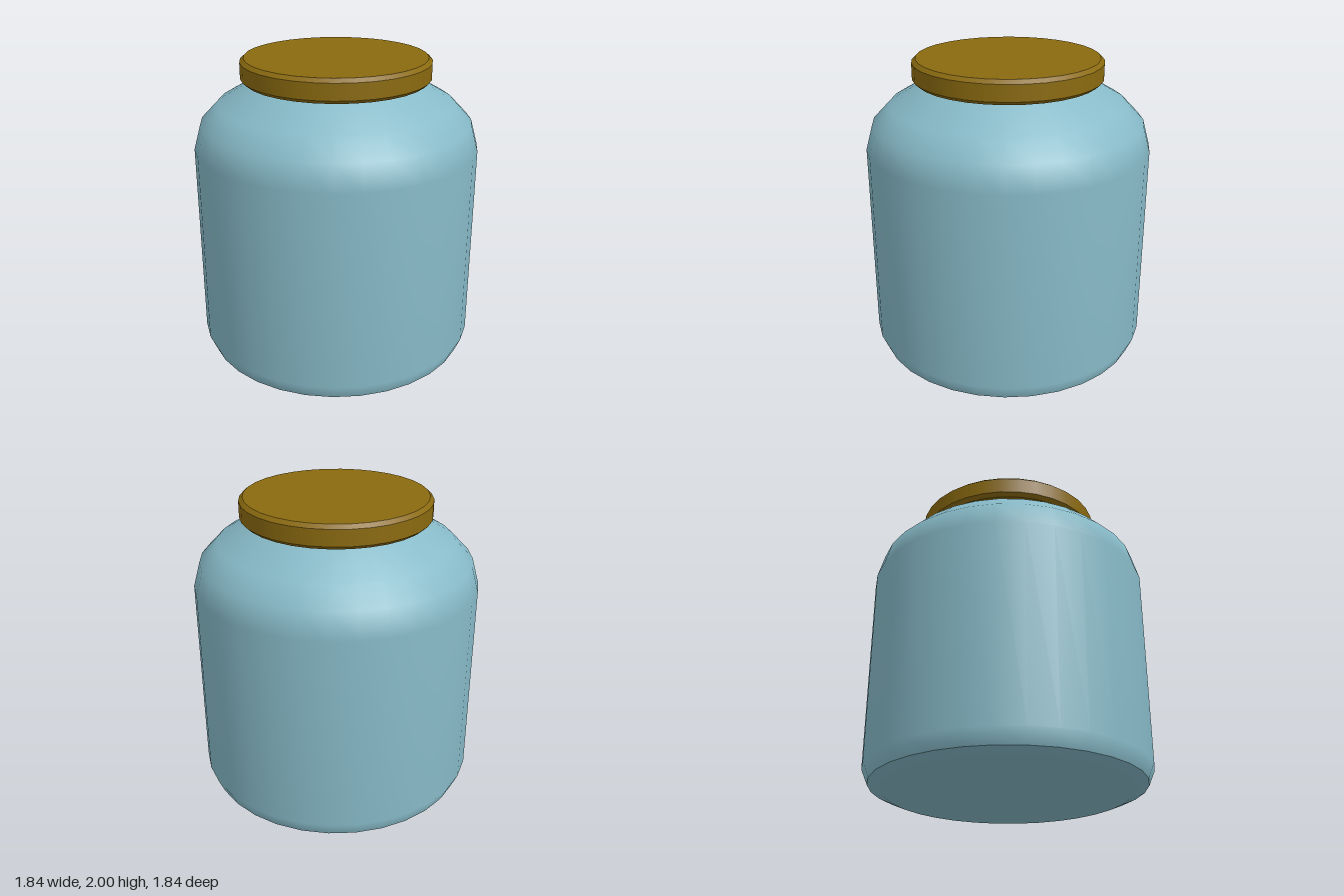
import * as THREE from 'three';
import { mergeGeometries } from 'three/addons/utils/BufferGeometryUtils.js';

const SIDES = 32;

// Turned part: each section is smooth, with a sharp edge between sections
function turned(name, material, sections) {
  const parts = sections.map((points) =>
    new THREE.LatheGeometry(points.map(([r, y]) => new THREE.Vector2(r, y)), SIDES));
  const mesh = new THREE.Mesh(mergeGeometries(parts), material);
  mesh.name = name;
  return mesh;
}

export function createModel() {
  const glass = new THREE.MeshStandardMaterial({ color: 0x87bac8 });
  glass.name = 'pale blue glass';
  const brass = new THREE.MeshStandardMaterial({ color: 0x8a6a10 });
  brass.name = 'dark gold lid';

  const group = new THREE.Group();
  group.name = 'jar';

  // Jar body: shallow base, then wall, rounded shoulder and neck
  group.add(turned('jarBody', glass, [
    [[0, 0], [0.78, 0.003], [0.88, 0.045]],
    [[0.88, 0.045], [0.92, 0.14], [0.92, 1.43], [0.875, 1.59], [0.76, 1.71], [0.52, 1.85]],
    [[0.52, 1.85], [0.52, 1.88]],
  ]));

  // Lid: underside, lower bevel, rim, upper bevel and flat top
  group.add(turned('lid', brass, [
    [[0, 1.85], [0.585, 1.85]],
    [[0.585, 1.85], [0.61, 1.873]],
    [[0.61, 1.873], [0.61, 1.977]],
    [[0.61, 1.977], [0.585, 2]],
    [[0.585, 2], [0, 2]],
  ]));

  return group;
}
